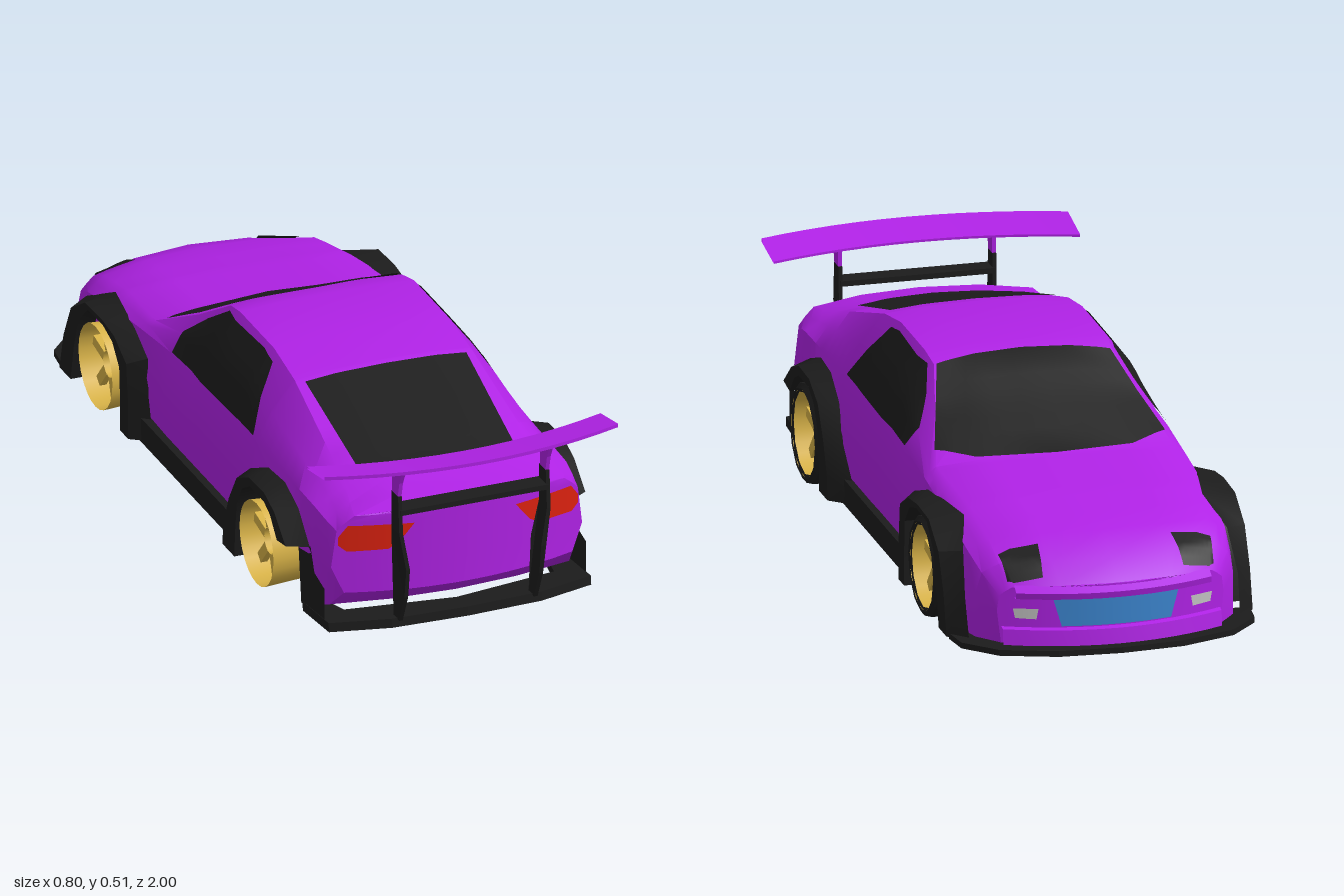
import * as THREE from 'three';
import { toCreasedNormals } from 'three/addons/utils/BufferGeometryUtils.js';

const material = (name, color) => {
  const m = new THREE.MeshStandardMaterial({ color, side: THREE.DoubleSide });
  m.name = name;
  return m;
};
const { clamp, lerp } = THREE.MathUtils;
const V = (x, y, z) => new THREE.Vector3(x, y, z);

// Body stations: z, floor y, sill x, waist x, shoulder x, y, roof edge x, y, centre y
const STATIONS = [
  [-0.95, 0.026, 0.28, 0.29, 0.285, 0.155, 0.255, 0.178, 0.185],
  [-0.9, 0.016, 0.33, 0.33, 0.315, 0.2, 0.275, 0.225, 0.235],
  [-0.8, 0.015, 0.35, 0.345, 0.33, 0.235, 0.28, 0.265, 0.275],
  [-0.6, 0.03, 0.335, 0.345, 0.335, 0.27, 0.285, 0.3, 0.31],
  [-0.37, 0.03, 0.335, 0.35, 0.335, 0.3, 0.305, 0.325, 0.338],
  [-0.2, 0.03, 0.34, 0.355, 0.335, 0.32, 0.26, 0.41, 0.425],
  [-0.07, 0.03, 0.34, 0.355, 0.335, 0.325, 0.228, 0.488, 0.497],
  [0, 0.03, 0.34, 0.355, 0.338, 0.33, 0.232, 0.503, 0.51],
  [0.22, 0.03, 0.34, 0.358, 0.338, 0.33, 0.232, 0.503, 0.51],
  [0.36, 0.03, 0.34, 0.358, 0.338, 0.33, 0.235, 0.48, 0.493],
  [0.75, 0.05, 0.33, 0.35, 0.335, 0.32, 0.255, 0.363, 0.378],
  [0.83, 0.075, 0.32, 0.345, 0.33, 0.31, 0.27, 0.35, 0.365],
  [0.9, 0.13, 0.305, 0.335, 0.322, 0.3, 0.28, 0.34, 0.352],
];
const AXLES = [-0.55, 0.515];
const ARCH = 0.155;

// Half cross-section at z, from floor centre round to roof centre
function section(z) {
  let i = 0;
  while (i < STATIONS.length - 2 && z > STATIONS[i + 1][0]) i++;
  const [p, q] = [STATIONS[i], STATIONS[i + 1]];
  const t = clamp((z - p[0]) / (q[0] - p[0]), 0, 1);
  const [, floor, sill, waist, sx, sy, ex, ey, top] = p.map((v, k) => lerp(v, q[k], t));
  let arch = floor;
  for (const c of AXLES) {
    const d = (z - c) / ARCH;
    if (Math.abs(d) <= 1.0001) arch = 0.13 + 0.12 * Math.sqrt(Math.max(0, 1 - d * d));
  }
  const mid = Math.max(Math.min(0.2, lerp(floor, sy, 0.7)), arch + 0.005);
  const shoulder = Math.max(sy, mid + 0.004);
  return [[0, floor], [0.17, floor], [0.17, arch], [sill, arch], [waist, mid], [sx, shoulder],
    [(sx + ex) / 2 + 0.07 * (ey - shoulder), (shoulder + ey) / 2],
    [ex, ey], [ex * 0.55, lerp(ey, top, 0.78)], [0, top]];
}

// Rounds the nose and tail in plan
function bend(x, z) {
  const k = (x / 0.33) ** 2;
  return z + 0.09 * k * clamp((-0.6 - z) / 0.35, 0, 1) - 0.06 * k * clamp((z - 0.7) / 0.19, 0, 1);
}
function lookup(points, key, value) {
  for (let i = 0; i < points.length - 1; i++) {
    const [a, b] = [points[i], points[i + 1]];
    if (value <= b[key]) return lerp(a[1 - key], b[1 - key], clamp((value - a[key]) / (b[key] - a[key]), 0, 1));
  }
  return points[points.length - 1][1 - key];
}
const topY = (x, z) => lookup(section(z).slice(5).reverse(), 0, Math.abs(x));
const sideX = (y, z) => lookup(section(z).slice(3, 8), 1, y);

// Surface through rows of points
function grid(rows) {
  const n = rows[0].length, index = [];
  for (let i = 0; i < rows.length - 1; i++) {
    for (let j = 0; j < n - 1; j++) {
      const a = i * n + j, d = a + n;
      index.push(a, a + 1, d + 1, a, d + 1, d);
    }
  }
  const g = new THREE.BufferGeometry().setFromPoints(rows.flat());
  g.setIndex(index);
  return toCreasedNormals(g, 0.6);
}

// Thin sheet between two outlines, laid on a surface by map(u, v)
function sheet(A, B, map, n = 5) {
  const fine = (P) => P.flatMap((p, i) => i === P.length - 1 ? [p]
    : [0, 1, 2, 3].map((k) => [lerp(p[0], P[i + 1][0], k / 4), lerp(p[1], P[i + 1][1], k / 4)]));
  const [a, b] = [fine(A), fine(B)];
  return grid(Array.from({ length: n + 1 }, (_, r) =>
    a.map((p, i) => map(lerp(p[0], b[i][0], r / n), lerp(p[1], b[i][1], r / n)))));
}

// Closed (z, y) profile swept across the car, moved in z by offset(x)
const sweep = (halfWidth, profile, offset) => grid(Array.from({ length: 13 }, (_, i) => {
  const x = halfWidth * (i / 6 - 1);
  return [...profile, profile[0]].map(([z, y]) => V(x, y, z + offset(x)));
}));
const extrude = (pts, depth) => new THREE.ExtrudeGeometry(
  new THREE.Shape(pts.map((p) => new THREE.Vector2(...p))), { depth, bevelEnabled: false });
const mirrored = (pts) => [...pts, ...pts.slice(0, -1).reverse().map(([x, z]) => [-x, z])];

export function createModel() {
  const car = new THREE.Group();
  car.name = 'sportsCar';
  const purple = material('purplePaint', 0xb022e6), black = material('blackTrim', 0x1c1c1c);
  const gold = material('goldWheel', 0xdab448), red = material('redLamp', 0xde2210);
  const blue = material('blueIntercooler', 0x3c86d0), grey = material('greyLamp', 0xc4c4c4);
  const add = (name, geometry, mat, parent = car) => {
    const mesh = new THREE.Mesh(geometry, mat);
    mesh.name = name;
    parent.add(mesh);
    return mesh;
  };

  // Body shell with wheel arches cut into the sections
  const zs = STATIONS.map((s) => s[0]);
  for (const c of AXLES) for (const s of [-1, 1]) for (const d of [0.02, 0.07, 0.12, 0.145, ARCH, ARCH + 0.001]) zs.push(c + s * d);
  zs.sort((a, b) => a - b);
  add('bodyShell', grid(zs.map((z) => {
    const half = section(z);
    return [...half, ...half.slice(0, -1).reverse().map(([x, y]) => [-x, y])].map(([x, y]) => V(x, y, bend(x, z)));
  })), purple);
  for (const [name, z, s] of [['nosePanel', -0.95, -1], ['tailPanel', 0.9, 1]]) {
    add(name, grid(section(z).map(([hx, y]) => Array.from({ length: 13 }, (_, i) => {
      const x = s * hx * (i / 6 - 1);
      return V(x, y, bend(x, z));
    }))), purple);
  }

  // Bumper lips above and below the nose intake
  const noseCurve = (x) => bend(x, -0.95);
  add('upperNoseLip', sweep(0.25, [[0.01, 0.152], [-0.014, 0.152], [-0.018, 0.168], [0.01, 0.186]], noseCurve), purple);
  add('lowerNoseLip', sweep(0.28, [[0.01, 0.03], [-0.02, 0.03], [-0.014, 0.072], [0.01, 0.078]], noseCurve), purple);

  // Glass
  const onTop = (x, z) => V(x, topY(x, z) + 0.005, bend(x, z));
  add('windscreen', sheet(
    [[-0.295, -0.32], [-0.2, -0.365], [0, -0.385], [0.2, -0.365], [0.295, -0.32]],
    [[-0.222, -0.075], [-0.12, -0.058], [0, -0.05], [0.12, -0.058], [0.222, -0.075]], onTop, 8), black);
  add('rearWindow', sheet(
    [[-0.215, 0.38], [-0.11, 0.38], [0, 0.38], [0.11, 0.38], [0.215, 0.38]],
    [[-0.205, 0.735], [-0.11, 0.765], [0, 0.772], [0.11, 0.765], [0.205, 0.735]], onTop, 8), black);

  const flares = [
    ['RearFlare', 0.4,
      [[0.24, 0.03], [0.25, 0.09], [0.3, 0.17], [0.36, 0.26], [0.46, 0.305], [0.56, 0.31], [0.65, 0.28], [0.74, 0.215]],
      [[0.37, 0.03], [0.375, 0.1], [0.385, 0.18], [0.42, 0.24], [0.47, 0.268], [0.56, 0.268], [0.6, 0.25], [0.645, 0.2]]],
    ['FrontFlare', 0.392,
      [[-0.3, 0.03], [-0.305, 0.15], [-0.32, 0.25], [-0.42, 0.285], [-0.52, 0.29], [-0.63, 0.285], [-0.74, 0.23], [-0.8, 0.13], [-0.83, 0.025]],
      [[-0.39, 0.03], [-0.39, 0.12], [-0.395, 0.2], [-0.44, 0.25], [-0.5, 0.268], [-0.6, 0.265], [-0.66, 0.21], [-0.69, 0.12], [-0.71, 0.025]]],
  ];

  for (const s of [1, -1]) {
    const side = s > 0 ? 'left' : 'right';
    add(side + 'SideWindow', sheet(
      [[0.34, 0.338], [0.25, 0.338], [0.19, 0.336], [-0.06, 0.332], [-0.13, 0.328], [-0.19, 0.325]],
      [[0.335, 0.348], [0.25, 0.483], [0.19, 0.492], [-0.05, 0.485], [-0.13, 0.432], [-0.2, 0.372]],
      (z, y) => V(s * (sideX(y, z) + 0.004), y, z)), black);

    // Wheel arch flares: slope out from the body, then turn in
    for (const [name, reach, outer, inner] of flares) {
      add(side + name, grid([
        outer.map(([z, y]) => V(s * (sideX(y, z) + 0.003), y, z)),
        outer.map(([z, y], i) => V(s * reach, lerp(y, inner[i][1], 0.4), lerp(z, inner[i][0], 0.4))),
        inner.map(([z, y]) => V(s * reach, y, z)),
        inner.map(([z, y]) => V(s * 0.335, y, z)),
      ]), black);
    }
    add(side + 'Skirt', new THREE.BoxGeometry(0.026, 0.065, 0.66), black).position.set(s * 0.352, 0.058, -0.02);
    add(side + 'RearSidePlate', sheet([[0.68, 0.035], [0.73, 0.04], [0.77, 0.044], [0.83, 0.05]],
      [[0.66, 0.2], [0.74, 0.215], [0.765, 0.155], [0.83, 0.14]], (z, y) => V(s * 0.349, y, z)), black);

    // Lamps
    add(side + 'TailLamp', sheet(
      [[0.175, 0.262], [0.2, 0.247], [0.3, 0.245], [0.32, 0.262]],
      [[0.135, 0.312], [0.2, 0.314], [0.298, 0.315], [0.32, 0.285]],
      (x, y) => V(s * x, y, bend(x, 0.9) + 0.005)), red);
    add(side + 'HeadlampCover', sheet([[0.18, -0.935], [0.25, -0.945], [0.264, -0.94]],
      [[0.17, -0.84], [0.24, -0.852], [0.272, -0.872]], (x, z) => onTop(s * x, z)), black);
    add(side + 'BumperLamp', sheet([[0.2, 0.098], [0.25, 0.1]], [[0.195, 0.125], [0.255, 0.125]],
      (x, y) => V(s * x, y, noseCurve(x) - 0.005)), grey);

    // Wing struts, black below and painted above
    const strut = (name, pts, mat) => {
      const g = extrude(pts, 0.01).rotateY(-Math.PI / 2);
      const p = g.attributes.position;
      for (let i = 0; i < p.count; i++) {
        p.setX(i, p.getX(i) + 0.005 + s * lerp(0.18, 0.197, clamp((p.getY(i) - 0.22) / 0.1, 0, 1)));
      }
      g.computeVertexNormals();
      add(side + name, g, mat);
    };
    strut('WingStrut', [[0.908, 0.42], [0.906, 0.32], [0.895, 0.22], [0.88, 0.06], [0.915, 0.06],
      [0.95, 0.14], [0.962, 0.22], [0.958, 0.32], [0.95, 0.42]], black);
    strut('WingBracket', [[0.912, 0.42], [0.948, 0.42], [0.958, 0.46], [0.975, 0.495], [0.9, 0.48], [0.912, 0.46]], purple);
  }

  // Intercooler in the nose
  add('intercooler', sheet([[-0.14, 0.08], [0, 0.08], [0.14, 0.08]], [[-0.16, 0.15], [0, 0.15], [0.16, 0.15]],
    (x, y) => V(x, y, noseCurve(x) - 0.005)), blue);

  // Front splitter and rear lip, the lip rising towards the tail
  const plate = (name, pts, top, depth) =>
    add(name, extrude(pts, depth).rotateX(Math.PI / 2).translate(0, top, 0), black);
  plate('frontSplitter', [...mirrored([[0.385, -0.78], [0.375, -0.86], [0.3, -0.94], [0.16, -0.988], [0, -1]]),
    [-0.31, -0.78], [-0.3, -0.85], [-0.2, -0.92], [0, -0.95], [0.2, -0.92], [0.3, -0.85], [0.31, -0.78]], 0.033, 0.015);
  const lip = plate('rearLip', [...mirrored([[0.35, 0.7], [0.35, 0.87], [0.2, 0.915], [0, 0.925]]),
    [-0.3, 0.7], [-0.28, 0.8], [0, 0.85], [0.28, 0.8], [0.3, 0.7]], 0.064, 0.024);
  lip.rotation.x = -0.1;
  lip.position.y = -0.091;

  // Rear wing with swept tips, and the bar between its struts
  add('rearWing', sweep(0.392, [[0.885, 0.48], [1, 0.503], [1, 0.494], [0.885, 0.474]],
    (x) => -0.065 * (x / 0.39) ** 2), purple);
  add('wingCrossbar', new THREE.BoxGeometry(0.394, 0.014, 0.052), black).position.set(0, 0.376, 0.93);

  // Wheels: only the left pair carries tyres
  const tyre = toCreasedNormals(new THREE.LatheGeometry([[0.106, 0.04], [0.116, 0.047], [0.129, 0.036], [0.129, -0.046], [0.106, -0.046]]
    .map((p) => new THREE.Vector2(...p)), 12).rotateZ(-Math.PI / 2), 0.6);
  const barrel = new THREE.CylinderGeometry(0.11, 0.102, 0.135, 24, 1, true).rotateZ(-Math.PI / 2);
  const hub = new THREE.CylinderGeometry(0.034, 0.034, 0.02, 12, 1, true).rotateZ(-Math.PI / 2);
  for (const z of AXLES) for (const s of [1, -1]) {
    const wheel = new THREE.Group();
    wheel.name = (s > 0 ? 'left' : 'right') + (z > 0 ? 'Rear' : 'Front') + 'Wheel';
    wheel.position.set(s * (z > 0 ? 0.356 : 0.347), 0.132, z);
    if (s < 0) wheel.rotation.y = Math.PI;
    if (s > 0) add('tyre', tyre, black, wheel);
    add('rimBarrel', barrel, gold, wheel).position.x = -0.023;
    add('hub', hub, gold, wheel);
    for (let i = 0; i < 6; i++) {
      const a = (i + 0.3) * Math.PI / 3;
      const spoke = add('spoke', new THREE.BoxGeometry(0.018, 0.07, 0.027), gold, wheel);
      spoke.position.set(0, 0.069 * Math.cos(a), 0.069 * Math.sin(a));
      spoke.rotation.x = a;
    }
    car.add(wheel);
  }
  return car;
}
